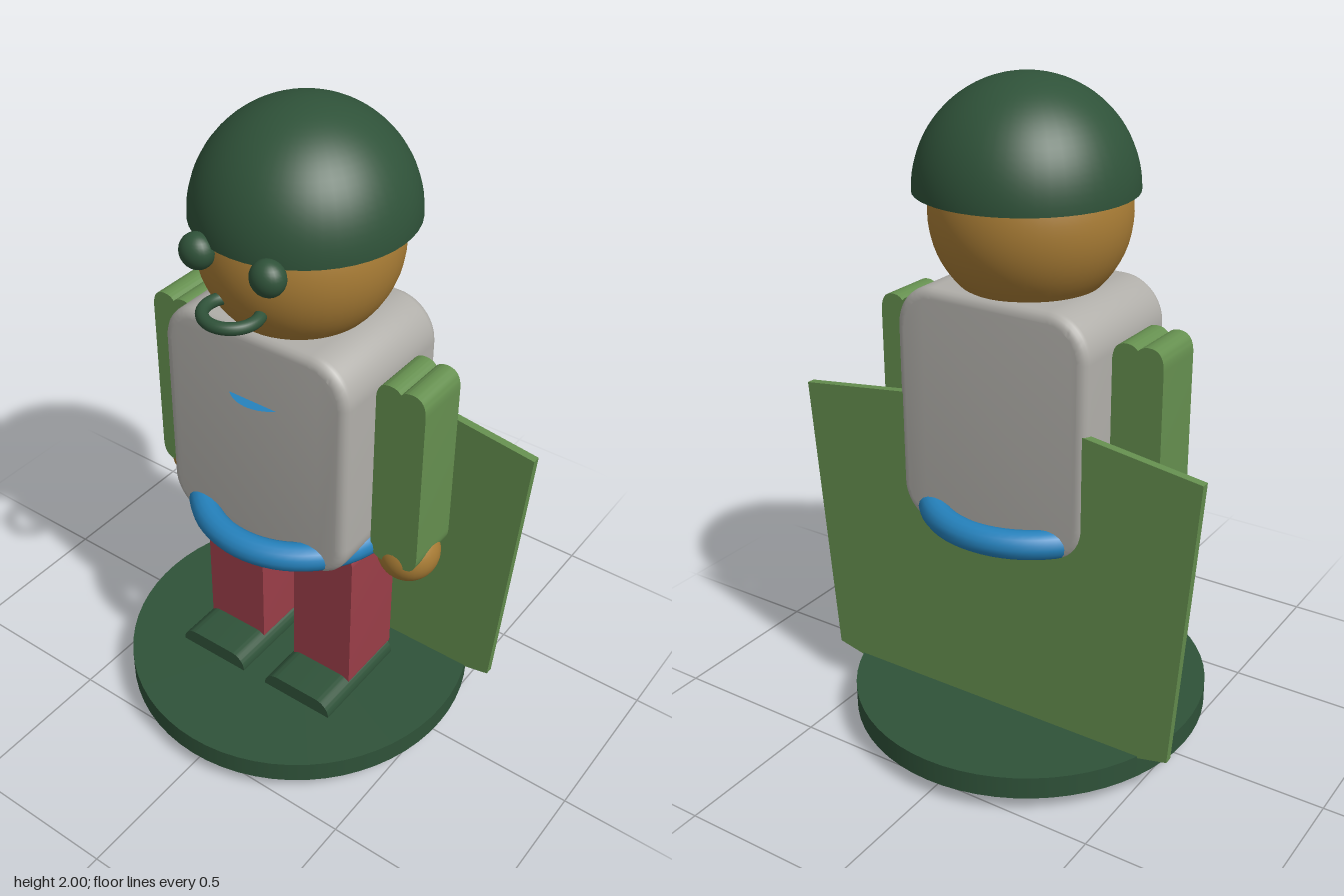
import * as THREE from 'three';
import { toCreasedNormals } from 'three/addons/utils/BufferGeometryUtils.js';

const paint = (name, color) => {
  const m = new THREE.MeshStandardMaterial({ color });
  m.name = name;
  return m;
};

// Upright profile extruded along z and centred on z = 0
function extrude(shape, depth, bevel = 0) {
  const g = new THREE.ExtrudeGeometry(shape, {
    depth: depth - 2 * bevel, curveSegments: 10,
    bevelEnabled: bevel > 0, bevelSize: bevel, bevelThickness: bevel,
    bevelOffset: -bevel, bevelSegments: 4,
  });
  g.translate(0, 0, bevel - depth / 2);
  return toCreasedNormals(g, 0.6);
}

// Rounded rectangle centred on the origin
function roundedRect(w, h, r) {
  const x = w / 2, y = h / 2, s = new THREE.Shape();
  s.moveTo(-x + r, -y);
  s.lineTo(x - r, -y);
  s.absarc(x - r, -y + r, r, -Math.PI / 2, 0);
  s.lineTo(x, y - r);
  s.absarc(x - r, y - r, r, 0, Math.PI / 2);
  s.lineTo(-x + r, y);
  s.absarc(-x + r, y - r, r, Math.PI / 2, Math.PI);
  s.lineTo(-x, -y + r);
  s.absarc(-x + r, -y + r, r, Math.PI, Math.PI * 1.5);
  return s;
}

// Sleeve profile: rounded ends with a small notch in the middle
function sleeveShape(w, h) {
  const x = w / 2, y = h / 2, s = new THREE.Shape();
  s.moveTo(-x, -y + 0.06);
  s.quadraticCurveTo(-x, -y, -0.035, -y);
  s.quadraticCurveTo(-0.012, -y, 0, -y + 0.015);
  s.quadraticCurveTo(0.012, -y, 0.035, -y);
  s.quadraticCurveTo(x, -y, x, -y + 0.06);
  s.lineTo(x, y - 0.06);
  s.quadraticCurveTo(x, y, 0.035, y);
  s.quadraticCurveTo(0.012, y, 0, y - 0.015);
  s.quadraticCurveTo(-0.012, y, -0.035, y);
  s.quadraticCurveTo(-x, y, -x, y - 0.06);
  return s;
}

export function createModel() {
  const model = new THREE.Group();
  model.name = 'figurine';

  const darkGreen = paint('dark green', 0x2f5239);
  const leafGreen = paint('leaf green', 0x658f4f);
  const skin = paint('tan', 0xa87c35);
  const grey = paint('grey', 0xb0aea9);
  const red = paint('red', 0x9b3e48);
  const blue = paint('blue', 0x2582bd);
  darkGreen.side = blue.side = THREE.DoubleSide;

  const add = (name, geometry, material, x = 0, y = 0, z = 0) => {
    const mesh = new THREE.Mesh(geometry, material);
    mesh.name = name;
    mesh.position.set(x, y, z);
    model.add(mesh);
    return mesh;
  };
  const ring = (radius, tube) =>
    new THREE.TorusGeometry(radius, tube, 16, 64).rotateX(Math.PI / 2);

  // Stand
  add('base', new THREE.CylinderGeometry(0.55, 0.55, 0.07, 64), darkGreen, 0, 0.085)
    .scale.z = 1.023;

  // Cape: flat plate that dips through the stand
  const cape = new THREE.Shape([
    [0, 0], [0.6, 0.135], [0.67, 1.035], [0, 1.125], [-0.67, 1.035], [-0.6, 0.135],
  ].map(([x, y]) => new THREE.Vector2(x, y)));
  add('cape', extrude(cape, 0.025), leafGreen, 0, 0, -0.207);

  // Body and belt
  add('torso', extrude(roundedRect(0.635, 0.75, 0.13), 0.45, 0.03), grey, 0, 1.045);
  add('belt', ring(0.298, 0.043), blue, 0, 0.728);
  // Thin flat badge emerging from the chest
  add('chestBadge', new THREE.CircleGeometry(0.12, 40).rotateX(-Math.PI / 2), blue, 0, 1.2, 0.137);

  // Head, helmet and face
  add('head', new THREE.SphereGeometry(0.286, 48, 32), skin, 0, 1.62).scale.z = 1.02;
  add('helmet', new THREE.SphereGeometry(0.315, 48, 20, 0, Math.PI * 2, 0, Math.PI / 2),
    darkGreen, 0, 1.688, -0.022).scale.z = 1.02;
  add('mouth', ring(0.077, 0.018), darkGreen, 0, 1.527, 0.3);

  // Paired parts
  for (const [side, s] of [['left', 1], ['right', -1]]) {
    add(side + 'Eye', new THREE.SphereGeometry(0.051, 24, 16), darkGreen, s * 0.115, 1.668, 0.292)
      .scale.z = 0.88;
    add(side + 'Arm', extrude(sleeveShape(0.158, 0.62), 0.175), leafGreen, s * 0.396, 1.015);
    add(side + 'Hand', new THREE.SphereGeometry(0.095, 32, 20), skin, s * 0.396, 0.704);
    add(side + 'Leg', extrude(roundedRect(0.215, 0.56, 0.04), 0.232), red, s * 0.169, 0.405, 0.002);
    add(side + 'Shoe', extrude(roundedRect(0.248, 0.11, 0.05), 0.355), darkGreen, s * 0.167, 0.117, 0.072);
  }
  return model;
}
